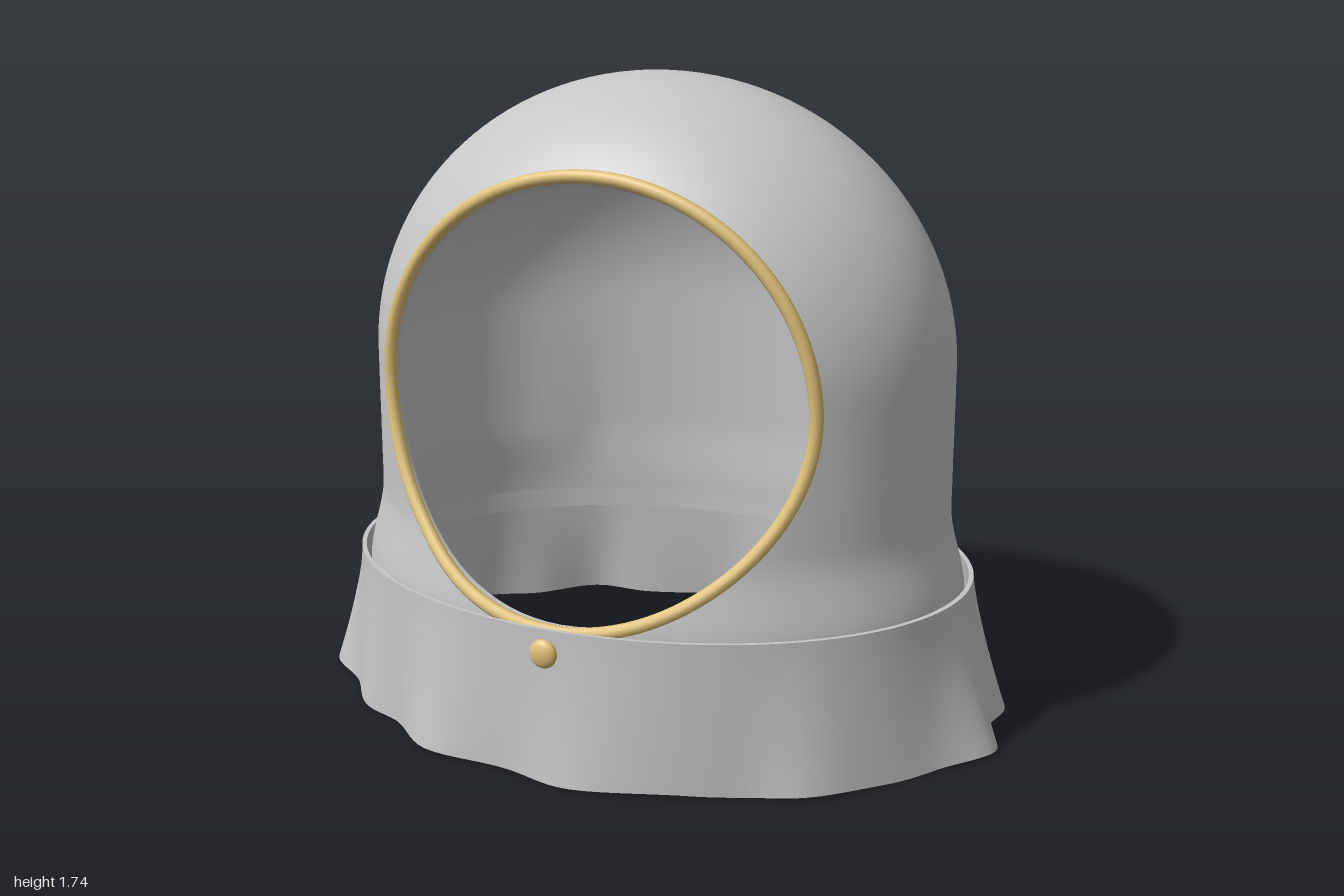
import * as THREE from 'three';
import { toCreasedNormals } from 'three/addons/utils/BufferGeometryUtils.js';

// Hood: elliptical dome on a straight wall, flaring near the collar
const A = 0.818, B = 0.622, SPRING = 0.98, H = 0.76, BASE = 0.33;
// Face opening: an ellipse seen from the front
const OPEN = { y: 0.95, rx: 0.605, ry: 0.56 };

function hoodScale(y) {
  if (y > SPRING) return Math.sqrt(Math.max(0, 1 - ((y - SPRING) / H) ** 2));
  return 1 + 0.055 * THREE.MathUtils.smoothstep(0.6 - y, 0, 0.24);
}

// The back of the hood flares from higher up than the sides
function backFlare(x, y) {
  const across = 1 - THREE.MathUtils.smoothstep(Math.abs(x), 0.42, 0.56);
  const down = THREE.MathUtils.clamp((1 - y) / 0.4, 0, 1);
  const fade = 1 - THREE.MathUtils.smoothstep(0.6 - y, 0, 0.2);
  return 0.018 * across * down * fade;
}

function openingHalfWidth(y) {
  return OPEN.rx * Math.sqrt(Math.max(0, 1 - ((y - OPEN.y) / OPEN.ry) ** 2));
}

// Skin a list of closed rings; skip(j, k) leaves out a quad
function loft(rings, crease, skip = () => false, extraQuads = []) {
  const pos = [];
  const quad = (a, b, c, d) => {
    for (const p of [a, b, c, a, c, d]) pos.push(p.x, p.y, p.z);
  };
  const n = rings[0].length;
  for (let j = 0; j < rings.length - 1; j++) {
    for (let k = 0; k < n; k++) {
      if (skip(j, k)) continue;
      const m = (k + 1) % n;
      const [a, b, c, d] = [rings[j][k], rings[j][m], rings[j + 1][m], rings[j + 1][k]];
      // Mirror the diagonals on the far half of the ring
      if (k >= n / 4 && k < n * 3 / 4) quad(b, c, d, a);
      else quad(a, b, c, d);
    }
  }
  extraQuads.forEach(q => quad(...q));
  const g = new THREE.BufferGeometry();
  g.setAttribute('position', new THREE.Float32BufferAttribute(pos, 3));
  return toCreasedNormals(g, crease);
}

// Each level is a C-shaped ring: outer wall round the back, inner wall returning
function hoodGeometry() {
  const N = 96, T = 0.04;
  const levels = [BASE, 0.36];
  for (let i = 0; i <= 48; i++) levels.push(OPEN.y - OPEN.ry * Math.cos(Math.PI * i / 48));
  const a0 = Math.asin((OPEN.y + OPEN.ry - SPRING) / H);
  for (let i = 1; i <= 16; i++) levels.push(SPRING + H * Math.sin(a0 + (Math.PI / 2 - a0) * i / 16));

  const arc = (y, half, t) => {
    const s = hoodScale(y);
    const r = t && s > 1 ? 1 + (s - 1) * 0.5 : s;
    const a = (A - t) * r, b = (B - t) * r;
    const yy = t && y > SPRING ? SPRING + (y - SPRING) * (H - t) / H : y;
    const start = a > 1e-6 ? Math.asin(Math.min(1, half / a)) : 0;
    return Array.from({ length: N + 1 }, (_, k) => {
      const phi = start + (2 * Math.PI - 2 * start) * k / N;
      const x = a * Math.sin(phi), z = b * Math.cos(phi);
      return new THREE.Vector3(x, yy, z < 0 ? z - backFlare(x, y) : z);
    });
  };
  const halves = levels.map(openingHalfWidth);
  const rings = levels.map((y, j) => [...arc(y, halves[j], 0), ...arc(y, halves[j], T).reverse()]);

  // Bottom edge of the wall
  const r0 = rings[0], last = r0.length - 1, hem = [];
  for (let k = 0; k < N; k++) hem.push([r0[k], r0[last - k], r0[last - k - 1], r0[k + 1]]);

  // No edge walls where the front is closed
  const skip = (j, k) => (k === N || k === last) && halves[j] < 1e-4 && halves[j + 1] < 1e-4;
  return loft(rings, 0.7, skip, hem);
}

// Collar: smooth oval at the top, spreading to an uneven wavy hem
function collarGeometry() {
  const hemPoints = [
    [0.08, 0.725], [0.35, 0.645], [0.5, 0.575], [0.65, 0.52], [0.79, 0.37], [0.89, 0.23],
    [1, 0.07], [0.94, -0.09], [0.95, -0.22], [0.79, -0.36], [0.68, -0.5], [0.5, -0.585],
    [0.29, -0.7], [0.1, -0.7], [-0.1, -0.73], [-0.36, -0.65], [-0.52, -0.62], [-0.66, -0.5],
    [-0.79, -0.4], [-0.88, -0.24], [-1, -0.08], [-0.94, 0.08], [-0.95, 0.22], [-0.79, 0.36],
    [-0.67, 0.5], [-0.54, 0.55], [-0.37, 0.68], [-0.12, 0.685],
  ].map(([x, z]) => new THREE.Vector3(x, 0, z));
  const hem = new THREE.CatmullRomCurve3(hemPoints, true).getPoints(196).slice(0, -1);
  const TOP = 0.41, ROWS = 12;

  const ring = (s, scale) => hem.map((p, k) => {
    const ang = Math.atan2(p.x / 0.885, p.z / 0.69);
    const t = s ** 1.3;
    const low = 0.009 + 0.004 * Math.sin(k * Math.PI * 2 * 11 / hem.length);
    return new THREE.Vector3(
      scale * THREE.MathUtils.lerp(0.885 * Math.sin(ang), p.x, t),
      THREE.MathUtils.lerp(TOP, low, s),
      scale * THREE.MathUtils.lerp(0.69 * Math.cos(ang), p.z, t));
  });
  const rings = [];
  for (let i = ROWS; i >= 0; i--) rings.push(ring(i / ROWS, 1));
  for (let i = 0; i <= ROWS; i++) rings.push(ring(i / ROWS, 0.985));
  rings.push(rings[0]);
  return loft(rings, 0.8);
}

// Gold piping following the opening over the curved hood
function pipingGeometry() {
  const pts = [];
  for (let i = 0; i < 72; i++) {
    const t = 2 * Math.PI * i / 72;
    const x = OPEN.rx * Math.sin(t), y = OPEN.y + OPEN.ry * Math.cos(t);
    const s = hoodScale(y);
    pts.push(new THREE.Vector3(x, y, B * s * Math.sqrt(1 - (x / (A * s)) ** 2) - 0.006));
  }
  return new THREE.TubeGeometry(new THREE.CatmullRomCurve3(pts, true), 160, 0.018, 10, true);
}

export function createModel() {
  const cloth = new THREE.MeshStandardMaterial({ color: 0xc6c6c6 });
  cloth.name = 'grey cloth';
  const gold = new THREE.MeshStandardMaterial({ color: 0xdfc078 });
  gold.name = 'gold';

  const group = new THREE.Group();
  group.name = 'hoodWithCollar';
  const add = (name, geometry, material) => {
    const mesh = new THREE.Mesh(geometry, material);
    mesh.name = name;
    group.add(mesh);
    return mesh;
  };

  add('hood', hoodGeometry(), cloth);
  add('collar', collarGeometry(), cloth);
  add('openingPiping', pipingGeometry(), gold);
  const button = add('collarButton', new THREE.SphereGeometry(0.038, 24, 16), gold);
  button.scale.z = 0.5;
  button.position.set(0, 0.35, 0.7);
  return group;
}
